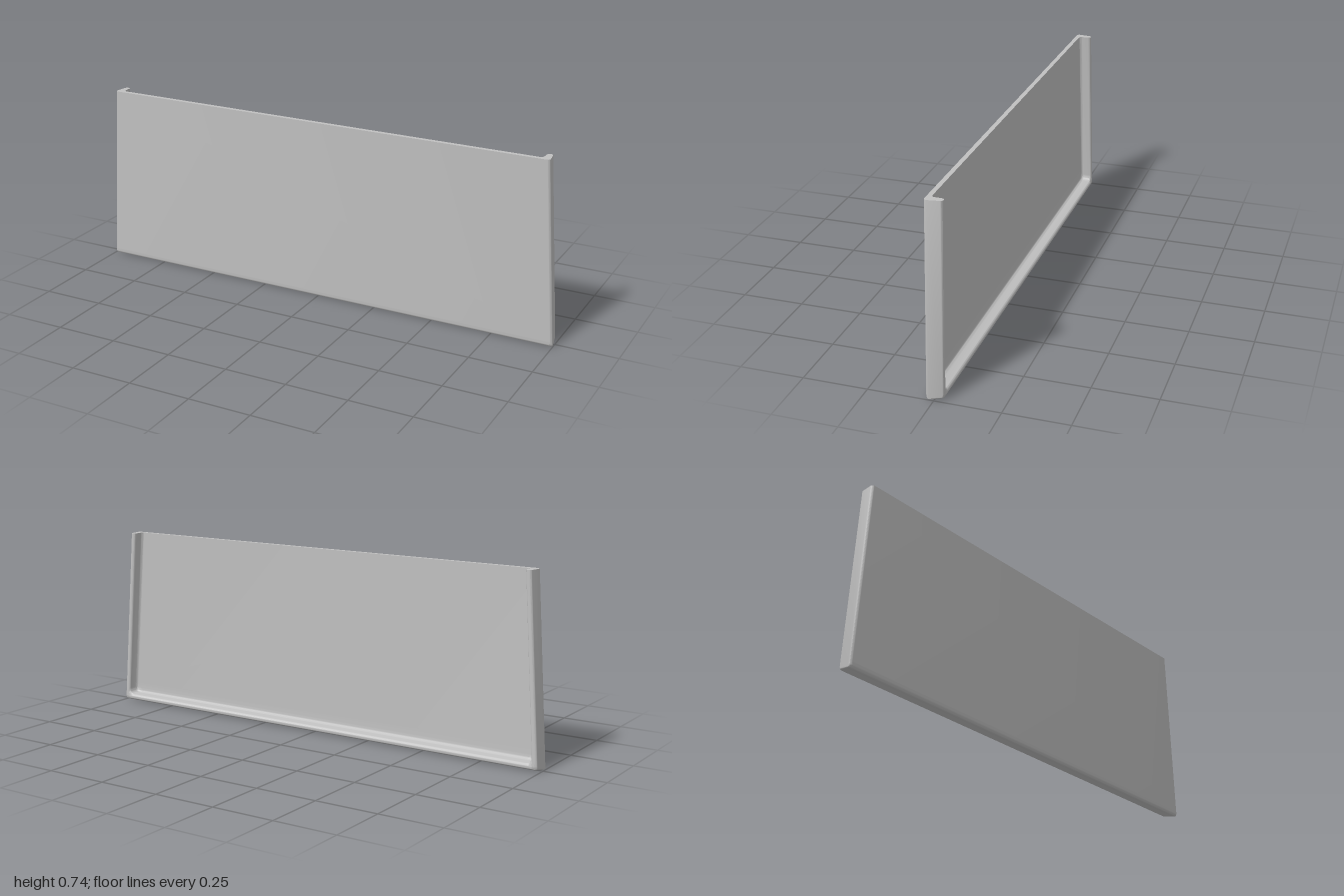
import * as THREE from 'three';
import { toCreasedNormals } from 'three/addons/utils/BufferGeometryUtils.js';

const HEIGHT = 0.742, TAPER = 0.052, LEAN = 0.007, CORNER_STEPS = 6;

// Arc points [inset from outer edge, depth z], angles in degrees
function arc(cd, cz, r, from, to, steps = 6) {
  return Array.from({ length: steps + 1 }, (_, i) => {
    const a = THREE.MathUtils.degToRad(from + (to - from) * i / steps);
    return [cd + r * Math.cos(a), cz + r * Math.sin(a)];
  });
}

// Half outline (right side), from the top down round the corner, at a given inset
function halfOutline(d) {
  const sideX = y => 1 - TAPER * y / HEIGHT - d;
  const r = 0.008 + d * 0.6;
  const curve = new THREE.QuadraticBezierCurve(
    new THREE.Vector2(sideX(d + r), d + r),
    new THREE.Vector2(sideX(d), d),
    new THREE.Vector2(sideX(d) - r, d));
  return [new THREE.Vector2(sideX(HEIGHT), HEIGHT), ...curve.getPoints(CORNER_STEPS)];
}

function trayGeometry() {
  // Rim section: front edge, back edge, inner lip, fillet into the panel
  const profile = [
    ...arc(0.012, 0.019, 0.012, 90, 180),
    ...arc(0.017, -0.026, 0.010, 180, 270),
    ...arc(0.020, -0.026, 0.010, 270, 360),
    ...arc(0.043, 0.001, 0.012, 180, 90),
  ];
  const n = profile.length;
  const columns = profile.map(([d, z]) => {
    const right = halfOutline(d);
    const left = right.map(p => new THREE.Vector2(-p.x, p.y));
    return [...left, ...right.reverse()].map(p =>
      new THREE.Vector3(p.x, p.y, z + LEAN * p.y / HEIGHT));
  });
  const m = columns[0].length;
  const pos = [], index = [];
  for (let i = 0; i < m; i++)
    for (let j = 0; j < n; j++) pos.push(...columns[j][i].toArray());
  const id = (i, j) => i * n + j;

  // Rim surface swept round the two sides and the bottom
  for (let i = 0; i < m - 1; i++)
    for (let j = 0; j < n - 1; j++)
      index.push(id(i, j), id(i, j + 1), id(i + 1, j),
        id(i, j + 1), id(i + 1, j + 1), id(i + 1, j));

  // Front and back faces of the panel
  for (let i = 0; i < m / 2 - 1; i++) {
    for (const j of [0, n - 1]) {
      const a = id(i, j), b = id(i + 1, j), c = id(m - 2 - i, j), e = id(m - 1 - i, j);
      if (j === 0) index.push(a, b, c, a, c, e);
      else index.push(a, c, b, a, e, c);
    }
  }

  // Flat cut along the open top
  const ids = [];
  for (let j = 0; j < n; j++) ids.push(id(m - 1, j));
  for (let j = n - 1; j >= 0; j--) ids.push(id(0, j));
  const contour = ids.map(k => new THREE.Vector2(pos[k * 3], -pos[k * 3 + 2]));
  for (const t of THREE.ShapeUtils.triangulateShape(contour, []))
    index.push(...t.map(k => ids[k]));

  const geo = new THREE.BufferGeometry();
  geo.setAttribute('position', new THREE.Float32BufferAttribute(pos, 3));
  geo.setIndex(index);
  return toCreasedNormals(geo, Math.PI / 6);
}

export function createModel() {
  const group = new THREE.Group();
  group.name = 'coverPanel';
  const grey = new THREE.MeshStandardMaterial({ color: 0xc0c0c0 });
  grey.name = 'lightGrey';
  const panel = new THREE.Mesh(trayGeometry(), grey);
  panel.name = 'rimmedPanel';
  group.add(panel);
  return group;
}
